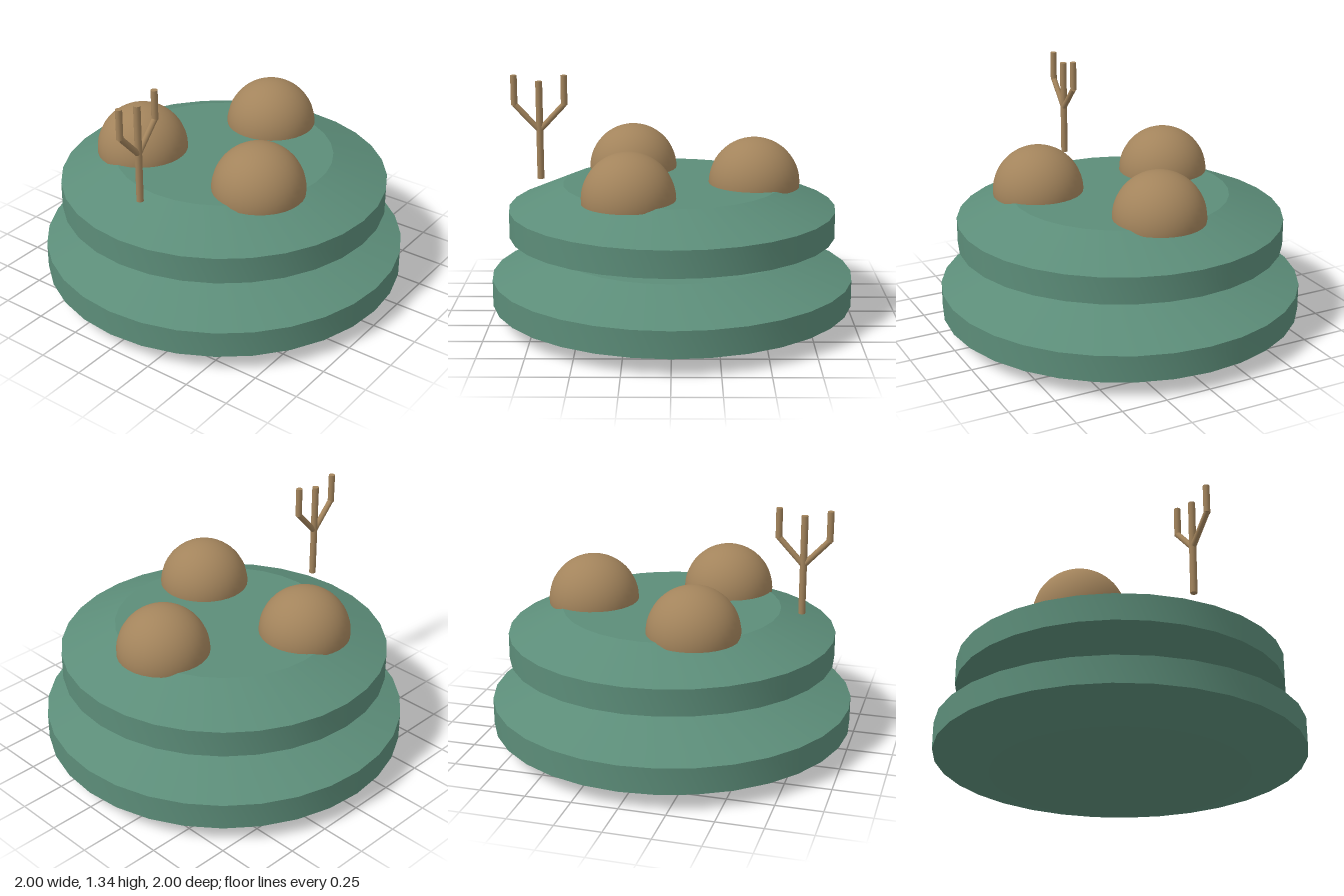
import * as THREE from 'three';
import { toCreasedNormals } from 'three/addons/utils/BufferGeometryUtils.js';

export function createModel() {
  const model = new THREE.Group();
  const green = new THREE.MeshStandardMaterial({ name: 'green', color: 0x5c8d79 });
  const brown = new THREE.MeshStandardMaterial({ name: 'brown', color: 0xa3845c, side: THREE.DoubleSide });

  const add = (parent, name, geometry, material) => {
    const mesh = new THREE.Mesh(geometry, material);
    mesh.name = name;
    parent.add(mesh);
    return mesh;
  };

  // Bevelled discs, one floating just above the other
  const disc = (name, profile) => {
    const points = profile.map(([r, y]) => new THREE.Vector2(r, y));
    add(model, name, toCreasedNormals(new THREE.LatheGeometry(points, 32), 0.3), green);
  };
  disc('lowerDisc', [[0, 0], [0.7, 0], [1, 0.095], [1, 0.24], [0.65, 0.367], [0, 0.367]]);
  disc('upperDisc', [[0, 0.39], [0.63, 0.39], [0.9, 0.475], [0.9, 0.62], [0.6, 0.75], [0, 0.75]]);

  // Three domes in a ring, each a little more than a hemisphere
  const domeGeometry = new THREE.SphereGeometry(0.25, 32, 16, 0, Math.PI * 2, 0, Math.PI * 0.525);
  for (let i = 0; i < 3; i++) {
    const angle = (i * Math.PI * 2) / 3;
    add(model, 'dome', domeGeometry, brown)
      .position.set(0.452 * Math.cos(angle), 0.75, 0.452 * Math.sin(angle));
  }

  // Forked twig: a straight stem and two bent side branches
  const twig = new THREE.Group();
  twig.name = 'twig';
  twig.position.x = -0.723;
  model.add(twig);
  const rod = (name, x0, y0, x1, y1, radius) => {
    const length = Math.hypot(x1 - x0, y1 - y0);
    const mesh = add(twig, name, new THREE.CylinderGeometry(radius, radius, length, 12), brown);
    mesh.position.set((x0 + x1) / 2, (y0 + y1) / 2, 0);
    mesh.rotation.z = -Math.atan2(x1 - x0, y1 - y0);
  };
  rod('stem', 0, 0.77, 0, 1.31, 0.019);
  for (const side of [-1, 1]) {
    rod('branch', 0, 1.04, side * 0.136, 1.185, 0.016);
    rod('branchTip', side * 0.136, 1.18, side * 0.136, 1.343, 0.018);
  }

  return model;
}
